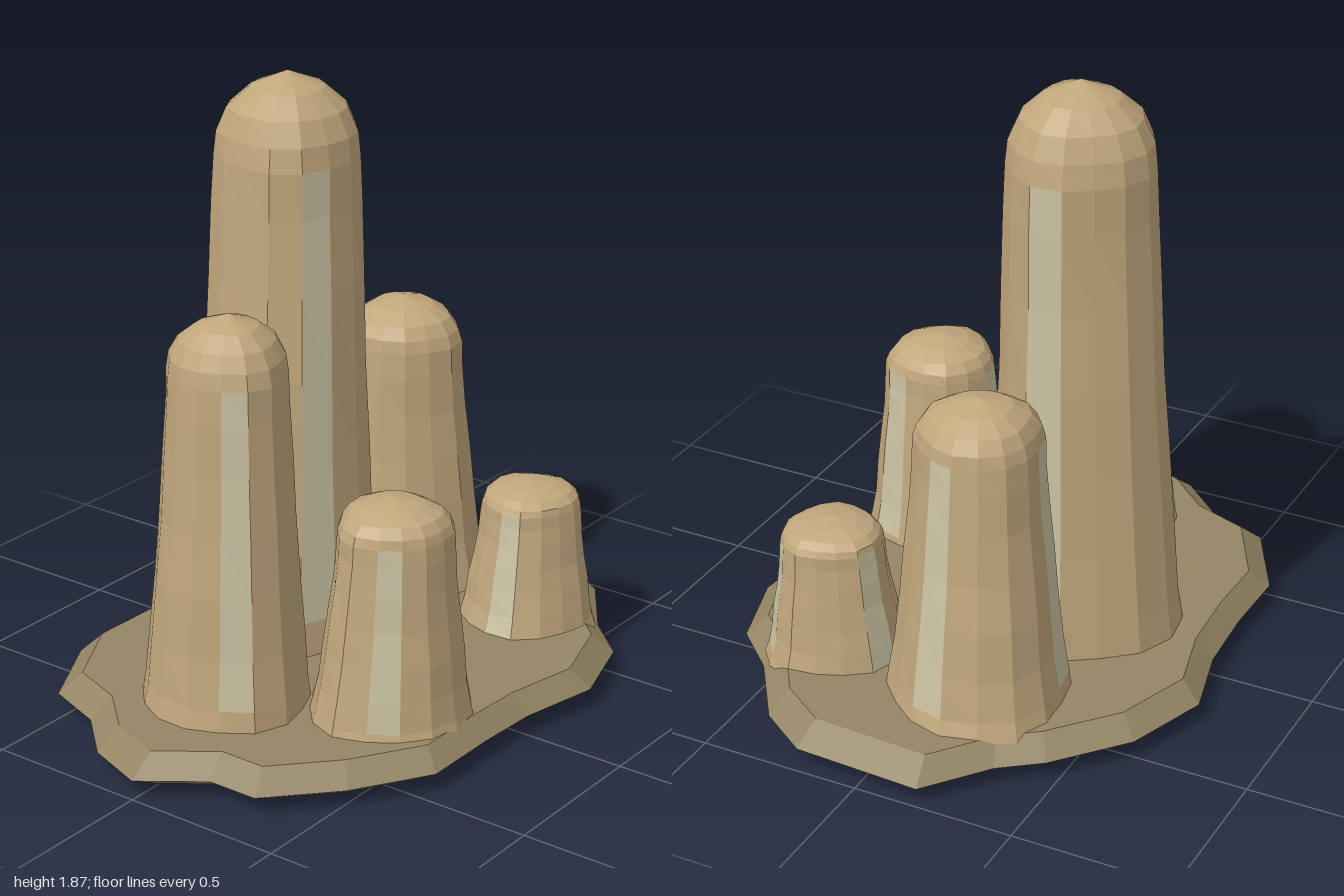
import * as THREE from 'three';

const rock = new THREE.MeshStandardMaterial({ color: 0xc0a67c, flatShading: true });
rock.name = 'sandstone';
const pale = new THREE.MeshStandardMaterial({ color: 0xc9c1a1, flatShading: true });
pale.name = 'pale streak';
const ground = new THREE.MeshStandardMaterial({ color: 0x948564, flatShading: true });
ground.name = 'dull base rock';

// Skin a stack of rings (each an array of Vector3, bottom to top) and close both ends.
// isPale(level, side) sends a face to the second material group.
function loft(rings, bottom, top, isPale = () => false) {
  const sets = [[], []];
  const n = rings[0].length;
  const tri = (set, ...pts) => pts.forEach((p) => set.push(p.x, p.y, p.z));
  for (let i = 0; i < n; i++) {
    const j = (i + 1) % n;
    tri(sets[0], bottom, rings[0][i], rings[0][j]);
    for (let k = 0; k < rings.length - 1; k++) {
      const [a, b, c, d] = [rings[k][i], rings[k][j], rings[k + 1][j], rings[k + 1][i]];
      const set = sets[isPale(k, i) ? 1 : 0];
      tri(set, a, c, b);
      tri(set, a, d, c);
    }
    const last = rings[rings.length - 1];
    tri(sets[0], last[j], last[i], top);
  }
  const geo = new THREE.BufferGeometry();
  geo.setAttribute('position', new THREE.Float32BufferAttribute([...sets[0], ...sets[1]], 3));
  geo.addGroup(0, sets[0].length / 3, 0);
  geo.addGroup(sets[0].length / 3, sets[1].length / 3, 1);
  geo.computeVertexNormals();
  return geo;
}

// Irregular slab outline (x, z), running from +x towards +z
const outline = [
  [1, -0.2], [0.98, 0.2], [0.87, 0.36], [0.65, 0.51], [0.52, 0.65], [0.26, 0.73],
  [0, 0.675], [-0.2, 0.665], [-0.45, 0.665], [-0.68, 0.52], [-0.87, 0.34], [-0.87, 0.18],
  [-1, 0], [-0.93, -0.19], [-0.79, -0.34], [-0.72, -0.53], [-0.46, -0.67], [-0.23, -0.665],
  [0.01, -0.68], [0.25, -0.74], [0.51, -0.65], [0.72, -0.47], [0.81, -0.35],
];

function makeBase() {
  const ring = (s, y) => outline.map(([x, z]) => new THREE.Vector3(x * s, y, z * s));
  const geo = loft([ring(0.88, 0), ring(1, 0.06), ring(0.915, 0.12)],
    new THREE.Vector3(0, 0, 0), new THREE.Vector3(0, 0.12, 0));
  const mesh = new THREE.Mesh(geo, [ground, pale]);
  mesh.name = 'basePlate';
  return mesh;
}

// Column profile: [height fraction, taper from foot (0) to shoulder (1), dome scale]
const profile = [
  [0, 0, 1], [0.08, 0.18, 1], [0.2, 0.36, 1], [0.35, 0.52, 1], [0.5, 0.7, 1], [0.65, 0.85, 1],
  [0.78, 0.95, 1], [0.86, 1, 1], [0.9, 1, 0.95], [0.94, 1, 0.81], [0.973, 1, 0.52],
];
const SIDES = 15;

function makePillar({ name, foot, head, height, r0, r1, turn, streaks, seed }) {
  const y0 = 0.085;
  const rings = profile.map(([f, taper, dome], k) => {
    const ring = [];
    for (let i = 0; i < SIDES; i++) {
      const a = THREE.MathUtils.degToRad(turn) + ((i - 0.5) / SIDES) * Math.PI * 2;
      // vertical flutes, plus faint horizontal bulges
      const flute = 1 + 0.035 * Math.sin(3 * a + seed) + 0.025 * Math.sin(5 * a + seed * 2.3);
      const bulge = 1 + 0.01 * Math.sin(k * 2.1 + a * 2 + seed);
      const r = THREE.MathUtils.lerp(r0, r1, taper) * dome * flute * bulge;
      ring.push(new THREE.Vector3(
        THREE.MathUtils.lerp(foot[0], head[0], taper) + r * Math.cos(a),
        y0 + (height - y0) * f,
        THREE.MathUtils.lerp(foot[1], head[1], taper) + r * Math.sin(a)));
    }
    return ring;
  });
  const geo = loft(rings, new THREE.Vector3(foot[0], y0, foot[1]),
    new THREE.Vector3(head[0], height, head[1]),
    (k, i) => k >= 1 && k <= 6 && streaks.includes(i));
  const mesh = new THREE.Mesh(geo, [rock, pale]);
  mesh.name = name;
  return mesh;
}

const pillars = [
  { name: 'tallPillar', foot: [0.01, -0.25], head: [0.04, -0.235], height: 1.87, r0: 0.305, r1: 0.22, turn: 0, streaks: [0, 5, 10], seed: 0.6 },
  { name: 'rightPillar', foot: [-0.51, -0.045], head: [-0.51, -0.025], height: 1.32, r0: 0.255, r1: 0.175, turn: 16, streaks: [0, 5, 10], seed: 1.9 },
  { name: 'leftPillar', foot: [0.545, -0.165], head: [0.505, -0.15], height: 1.065, r0: 0.275, r1: 0.185, turn: 10, streaks: [0, 10], seed: 3.1 },
  { name: 'frontRightPillar', foot: [-0.285, 0.375], head: [-0.28, 0.39], height: 0.79, r0: 0.25, r1: 0.17, turn: 28, streaks: [0, 5, 10], seed: 4.4 },
  { name: 'frontLeftPillar', foot: [0.495, 0.335], head: [0.515, 0.335], height: 0.56, r0: 0.22, r1: 0.152, turn: 50, streaks: [0, 5, 10], seed: 5.7 },
];

export function createModel() {
  const group = new THREE.Group();
  group.name = 'rockPillars';
  group.add(makeBase(), ...pillars.map(makePillar));
  return group;
}
